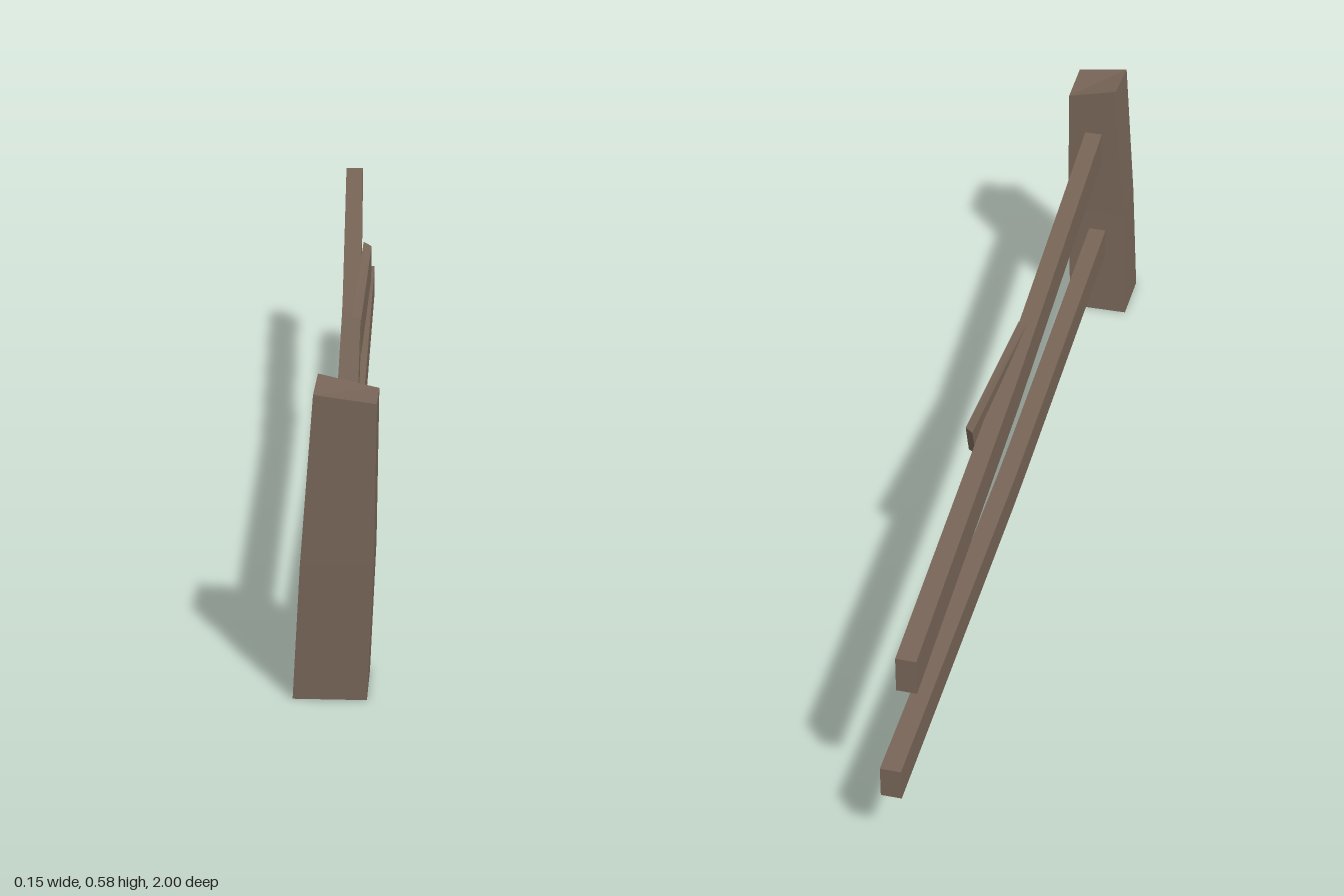
import * as THREE from 'three';

const wood = new THREE.MeshStandardMaterial({ color: 0x776557 });
wood.name = 'weathered wood';

// Closed beam through four-cornered rings, counter-clockwise seen from the last ring
function beam(name, rings) {
  const pos = [];
  const quad = (a, b, c, d) => pos.push(...a, ...b, ...c, ...a, ...c, ...d);
  for (let r = 0; r < rings.length - 1; r++) {
    const a = rings[r], b = rings[r + 1];
    for (let i = 0; i < 4; i++) {
      const j = (i + 1) % 4;
      quad(a[i], a[j], b[j], b[i]);
    }
  }
  quad(...[...rings[0]].reverse());
  quad(...rings[rings.length - 1]);
  const geo = new THREE.BufferGeometry();
  geo.setAttribute('position', new THREE.Float32BufferAttribute(pos, 3));
  geo.computeVertexNormals();
  const mesh = new THREE.Mesh(geo, wood);
  mesh.name = name;
  return mesh;
}

// Upright rectangular section of a rail at depth z
const section = (z, x0, x1, y0, y1) => [[x0, y0, z], [x1, y0, z], [x1, y1, z], [x0, y1, z]];

// Level section of the post at height y
const level = (y, x0, x1, z0, z1) => [[x0, y, z1], [x1, y, z1], [x1, y, z0], [x0, y, z0]];

export function createModel() {
  const fence = new THREE.Group();
  fence.name = 'brokenFence';

  // Leaning, tapered post with a slanted top
  fence.add(beam('post', [
    level(0, -0.075, 0.058, 0.862, 0.992),
    level(0.26, -0.06, 0.07, 0.876, 0.997),
    [[-0.035, 0.578, 1], [0.075, 0.563, 1], [0.075, 0.555, 0.89], [-0.033, 0.58, 0.89]],
  ]));

  // Sagging rails, ending inside the post
  fence.add(beam('upperRail', [
    section(-0.975, -0.077, -0.038, 0.394, 0.469),
    section(-0.05, -0.038, 0.0, 0.366, 0.441),
    section(0.1, -0.032, 0.006, 0.368, 0.443),
    section(0.92, -0.003, 0.036, 0.391, 0.468),
  ]));
  fence.add(beam('lowerRail', [
    section(-1, -0.05, -0.01, 0.152, 0.218),
    section(-0.08, -0.034, 0.004, 0.124, 0.19),
    section(0.05, -0.032, 0.006, 0.125, 0.191),
    section(0.92, -0.02, 0.019, 0.15, 0.217),
  ]));

  // Split piece peeling away from the upper rail
  fence.add(beam('splinter', [
    [[-0.006, 0.408, -0.28], [0.012, 0.405, -0.265], [0.012, 0.474, -0.287], [-0.006, 0.478, -0.305]],
    section(0.14, -0.01, 0.009, 0.37, 0.443),
  ]));

  return fence;
}
